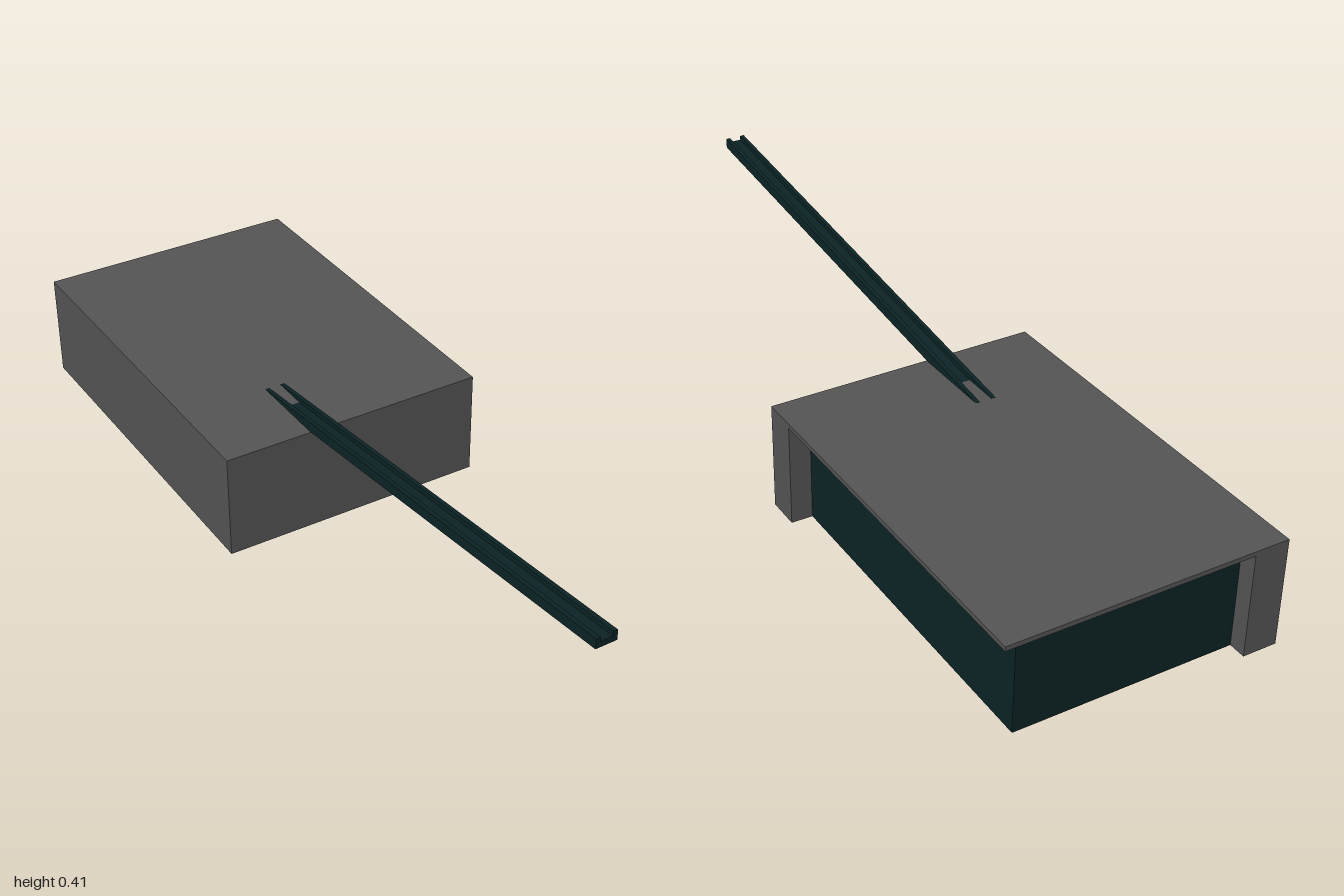
import * as THREE from 'three';

export function createModel() {
  const group = new THREE.Group();
  const grey = new THREE.MeshStandardMaterial({ color: 0x555555 });
  grey.name = 'concrete grey';
  const dark = new THREE.MeshStandardMaterial({ color: 0x0c2325 });
  dark.name = 'dark teal';

  // Box given by its minimum and maximum corners
  function block(name, material, [x0, y0, z0], [x1, y1, z1]) {
    const mesh = new THREE.Mesh(new THREE.BoxGeometry(x1 - x0, y1 - y0, z1 - z0), material);
    mesh.position.set((x0 + x1) / 2, (y0 + y1) / 2, (z0 + z1) / 2);
    mesh.name = name;
    group.add(mesh);
  }

  const W = 0.333, TOP = 0.263, CEILING = 0.252, FRONT = -0.05, BACK = -1;

  // Flat roof and the two solid walls
  block('roof', grey, [-W, CEILING, BACK], [W, TOP, FRONT]);
  block('frontWall', grey, [-W, 0, FRONT - 0.083], [W, CEILING, FRONT]);
  block('rightWall', grey, [-W, 0, BACK], [-W + 0.083, CEILING, FRONT - 0.083]);

  // Recessed window panes on the left and back
  block('leftPane', dark, [0.272, 0, -0.958], [0.281, CEILING, FRONT - 0.083]);
  block('backPane', dark, [-W + 0.083, 0, -0.958], [0.272, CEILING, -0.949]);

  // Sloping open channel, sunk into the roof at its lower end
  const half = 0.0255, inner = 0.015, depth = 1.263, slope = 0.116;
  const profile = new THREE.Shape([
    [-half, -0.025], [half, -0.025], [half, 0], [inner, 0],
    [inner, -0.011], [-inner, -0.011], [-inner, 0], [-half, 0],
  ].map(([x, y]) => new THREE.Vector2(x, y)));
  const geometry = new THREE.ExtrudeGeometry(profile, { depth, bevelEnabled: false });
  geometry.translate(0, 0, -depth);
  const p = geometry.attributes.position;
  for (let i = 0; i < p.count; i++) p.setY(i, p.getY(i) + p.getZ(i) * slope);
  geometry.computeVertexNormals();
  const channel = new THREE.Mesh(geometry, dark);
  channel.position.set(-0.09, 0.41, 1);
  channel.name = 'channel';
  group.add(channel);

  return group;
}
